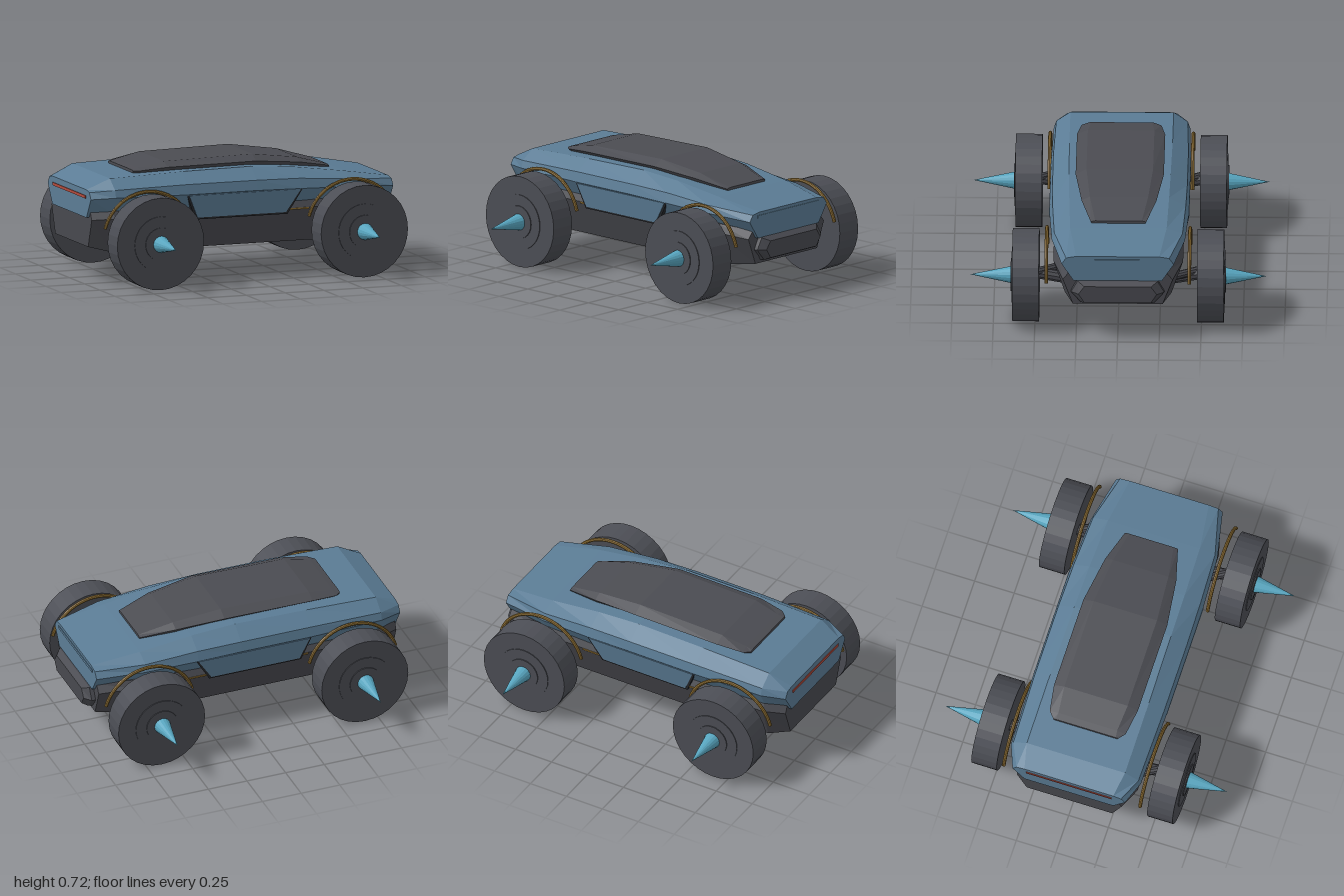
import * as THREE from 'three';

const mat = (name, color) => new THREE.MeshStandardMaterial({ name, color, flatShading: true });

// Symmetric loft along x: each section is [x, [[y, halfWidth], ... top to bottom]]
function loft(sections) {
  const rings = sections.map(([x, pts]) => [
    ...pts.map(([y, w]) => [x, y, w]),
    ...pts.slice().reverse().map(([y, w]) => [x, y, -w]),
  ]);
  const pos = [];
  const tri = (a, b, c) => pos.push(...a, ...b, ...c);
  const n = rings[0].length;
  for (let s = 0; s < rings.length - 1; s++) {
    const A = rings[s], B = rings[s + 1];
    for (let i = 0; i < n; i++) {
      const j = (i + 1) % n;
      tri(A[i], A[j], B[j]);
      tri(A[i], B[j], B[i]);
    }
  }
  const first = rings[0], last = rings[rings.length - 1];
  for (let i = 1; i < n - 1; i++) {
    tri(first[0], first[i + 1], first[i]);
    tri(last[0], last[i], last[i + 1]);
  }
  const g = new THREE.BufferGeometry();
  g.setAttribute('position', new THREE.Float32BufferAttribute(pos, 3));
  g.computeVertexNormals();
  return g;
}

export function createModel() {
  const model = new THREE.Group();
  const blue = mat('bodyBlue', 0x5b7c95);
  const hullGrey = mat('hullGrey', 0x48494f);
  const canopyGrey = mat('canopyGrey', 0x4b4c52);
  const tyreGrey = mat('tyreGrey', 0x4c4e55);
  const dark = mat('trimDark', 0x26282c);
  const gold = mat('gold', 0x8f6f33);
  const cyan = mat('spikeCyan', 0x57a5bf);
  const red = mat('tailRed', 0xb04a3c);

  const add = (name, geo, material, parent = model) => {
    const m = new THREE.Mesh(geo, material);
    m.name = name;
    parent.add(m);
    return m;
  };
  const rod = (name, a, b, r, material, parent) => {
    const p = new THREE.Vector3(...a), q = new THREE.Vector3(...b);
    const m = add(name, new THREE.CylinderGeometry(r, r, p.distanceTo(q), 10), material, parent);
    m.position.copy(p).add(q).multiplyScalar(0.5);
    m.quaternion.setFromUnitVectors(new THREE.Vector3(0, 1, 0), q.sub(p).normalize());
    return m;
  };

  // Lower hull with a shoulder at the waist
  add('lowerHull', loft([
    [-0.985, [[0.46, 0.3], [0.4, 0.33], [0.23, 0.27]]],
    [-0.86, [[0.46, 0.365], [0.41, 0.39], [0.2, 0.32]]],
    [0.72, [[0.46, 0.365], [0.41, 0.39], [0.2, 0.32]]],
    [0.94, [[0.44, 0.29], [0.39, 0.33], [0.23, 0.27]]],
  ]), hullGrey);

  // Nose block
  add('noseBlock', loft([
    [0.9, [[0.4, 0.24], [0.32, 0.28], [0.25, 0.24]]],
    [0.965, [[0.39, 0.24], [0.32, 0.28], [0.25, 0.22]]],
    [1.0, [[0.37, 0.2], [0.32, 0.235], [0.265, 0.2]]],
  ]), hullGrey);

  // Upper body shell
  add('upperBody', loft([
    [-1.0, [[0.58, 0.28], [0.57, 0.33], [0.53, 0.355], [0.41, 0.28]]],
    [-0.86, [[0.645, 0.31], [0.585, 0.395], [0.54, 0.41], [0.44, 0.36]]],
    [-0.4, [[0.66, 0.31], [0.595, 0.405], [0.535, 0.42], [0.44, 0.365]]],
    [0.05, [[0.665, 0.305], [0.595, 0.405], [0.535, 0.42], [0.44, 0.365]]],
    [0.33, [[0.645, 0.3], [0.59, 0.4], [0.53, 0.418], [0.44, 0.365]]],
    [0.66, [[0.6, 0.29], [0.565, 0.385], [0.52, 0.4], [0.43, 0.35]]],
    [0.957, [[0.55, 0.25], [0.54, 0.31], [0.5, 0.337], [0.39, 0.265]]],
  ]), blue);

  // Canopy
  add('canopy', loft([
    [-0.67, [[0.668, 0.19], [0.663, 0.205], [0.64, 0.19]]],
    [-0.63, [[0.678, 0.185], [0.668, 0.24], [0.645, 0.21]]],
    [-0.47, [[0.711, 0.2], [0.683, 0.265], [0.655, 0.225]]],
    [0.1, [[0.722, 0.2], [0.688, 0.265], [0.655, 0.225]]],
    [0.4, [[0.682, 0.175], [0.658, 0.225], [0.62, 0.2]]],
    [0.61, [[0.623, 0.14], [0.617, 0.167], [0.59, 0.15]]],
  ]), canopyGrey);

  // Light bars at nose and tail
  add('noseBar', new THREE.BoxGeometry(0.008, 0.018, 0.54), blue).position.set(0.957, 0.522, 0);
  add('tailLight', new THREE.BoxGeometry(0.008, 0.018, 0.54), red).position.set(-1.0, 0.535, 0);

  // Door panel: a trapezoid leaning in at the bottom
  const doorGeo = (side, grow) => {
    const pts = [[-0.39, 0.07], [-0.33, -0.07], [0.24, -0.07], [0.33, 0.07]];
    const shape = new THREE.Shape(pts.map(([x, y]) => new THREE.Vector2(
      side * (x + Math.sign(x) * grow), y < 0 ? y - grow : y)));
    return new THREE.ExtrudeGeometry(shape, { depth: 0.03, bevelEnabled: false });
  };

  for (const s of [1, -1]) {
    const sideGroup = new THREE.Group();
    sideGroup.name = s > 0 ? 'frontSideTrim' : 'backSideTrim';
    sideGroup.rotation.y = s > 0 ? 0 : Math.PI;
    model.add(sideGroup);
    const frame = add('doorFrame', doorGeo(s, 0.012), dark, sideGroup);
    frame.position.set(0, 0.463, 0.377);
    frame.rotation.x = 0.14;
    const door = add('doorPanel', doorGeo(s, 0), blue, sideGroup);
    door.position.set(0, 0.463, 0.382);
    door.rotation.x = 0.14;
    add('sillStrip', new THREE.BoxGeometry(0.78, 0.01, 0.02), gold, sideGroup).position.set(0, 0.405, 0.385);

    // Wheels, spikes, axles and arched guards
    for (const x of [-0.66, 0.655]) {
      const wheel = new THREE.Group();
      wheel.name = 'wheelAssembly';
      wheel.position.set(x * s, 0.283, 0);
      sideGroup.add(wheel);
      const disc = (name, r, z0, z1, material, n, rTip = r) => {
        const m = add(name, new THREE.CylinderGeometry(rTip, r, z1 - z0, n), material, wheel);
        m.rotation.x = Math.PI / 2;
        m.position.z = (z0 + z1) / 2;
      };
      disc('tyre', 0.28, 0.475, 0.635, tyreGrey, 32);
      disc('rim', 0.168, 0.63, 0.64, tyreGrey, 32);
      disc('hub', 0.1, 0.635, 0.646, tyreGrey, 24);
      disc('spike', 0.052, 0.64, 0.89, cyan, 16, 0);
      rod('axle', [0, -0.02, 0.3], [0, 0.015, 0.49], 0.035, hullGrey, wheel);
      rod('suspensionArm', [-0.07, 0.03, 0.34], [0.02, 0.03, 0.49], 0.025, hullGrey, wheel);
      const arc = Math.PI * 0.83;
      const guard = add('wheelGuard', new THREE.TorusGeometry(0.288, 0.011, 8, 28, arc), gold, wheel);
      guard.rotation.z = (Math.PI - arc) / 2;
      guard.position.z = 0.43;
    }
  }
  return model;
}
